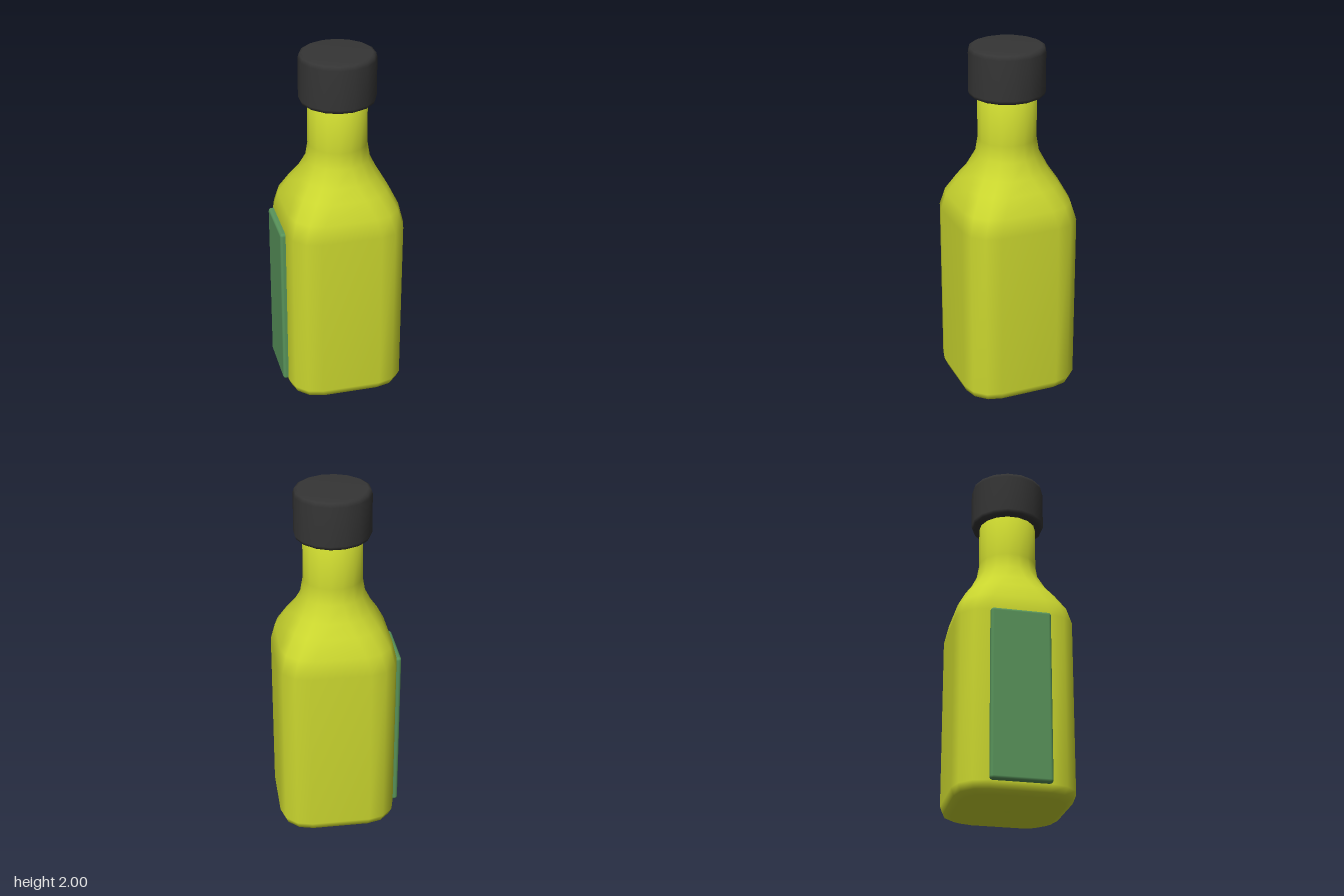
import * as THREE from 'three';
import { RoundedBoxGeometry } from 'three/addons/geometries/RoundedBoxGeometry.js';

const SIDES = 16;
const CORNER = 0.5; // corner radius as a share of the half width

// One of 16 outline points, blended from rounded square (0) to circle (1)
function outline(i, round) {
  const quarter = Math.floor(i / 4);
  const turn = (quarter * Math.PI) / 2;
  const a = turn + ((i % 4) * Math.PI) / 6;
  const mid = turn + Math.PI / 4;
  const flat = (1 - CORNER) * Math.SQRT2;
  const c = ((i + 0.5) / SIDES) * Math.PI * 2;
  const x = flat * Math.cos(mid) + CORNER * Math.cos(a);
  const z = flat * Math.sin(mid) + CORNER * Math.sin(a);
  return [
    THREE.MathUtils.lerp(x, 1.01 * Math.cos(c), round),
    THREE.MathUtils.lerp(z, 1.01 * Math.sin(c), round),
  ];
}

// Closed smooth skin over rings of [y, halfWidth, roundness]
function loft(rings) {
  const pos = [], index = [];
  for (const [y, half, round] of rings) {
    for (let i = 0; i < SIDES; i++) {
      const [x, z] = outline(i, round);
      pos.push(x * half, y, z * half);
    }
  }
  const last = rings.length - 1;
  for (let r = 0; r < last; r++) {
    for (let i = 0; i < SIDES; i++) {
      const n = (i + 1) % SIDES;
      const a = r * SIDES + i, b = r * SIDES + n;
      index.push(a, a + SIDES, b, b, a + SIDES, b + SIDES);
    }
  }
  // Bottom and top discs
  const bottom = pos.length / 3, top = bottom + 1;
  pos.push(0, rings[0][0], 0, 0, rings[last][0], 0);
  for (let i = 0; i < SIDES; i++) {
    const n = (i + 1) % SIDES;
    index.push(bottom, i, n, top, last * SIDES + n, last * SIDES + i);
  }
  const geometry = new THREE.BufferGeometry();
  geometry.setAttribute('position', new THREE.Float32BufferAttribute(pos, 3));
  geometry.setIndex(index);
  geometry.computeVertexNormals();
  return geometry;
}

function material(name, color) {
  const m = new THREE.MeshStandardMaterial({ color });
  m.name = name;
  return m;
}

export function createModel() {
  const group = new THREE.Group();
  group.name = 'bottle';
  const add = (name, geometry, mat, x, y = 0) => {
    const mesh = new THREE.Mesh(geometry, mat);
    mesh.name = name;
    mesh.position.set(x, y, 0);
    group.add(mesh);
  };
  const axis = 0.0145;

  // Square body with shoulders narrowing to a round neck
  add('bottleBody', loft([
    [0, 0.28, 0],
    [0.018, 0.318, 0],
    [0.06, 0.335, 0],
    [1.03, 0.335, 0],
    [1.13, 0.313, 0.15],
    [1.23, 0.265, 0.5],
    [1.3, 0.222, 0.8],
    [1.39, 0.178, 1],
    [1.48, 0.163, 1],
    [1.75, 0.163, 1],
  ]), material('yellow green glass', 0xcbd72f), axis);

  // Screw cap with softened rims
  add('cap', loft([
    [1.725, 0.19, 1],
    [1.732, 0.203, 1],
    [1.75, 0.21, 1],
    [1.97, 0.21, 1],
    [1.992, 0.203, 1],
    [2, 0.187, 1],
  ]), material('black plastic', 0x353535), axis);

  // Raised label on one side
  add('label', new RoundedBoxGeometry(0.06, 0.97, 0.334, 2, 0.017),
    material('green label', 0x58935a), -0.32, 0.545);

  return group;
}
